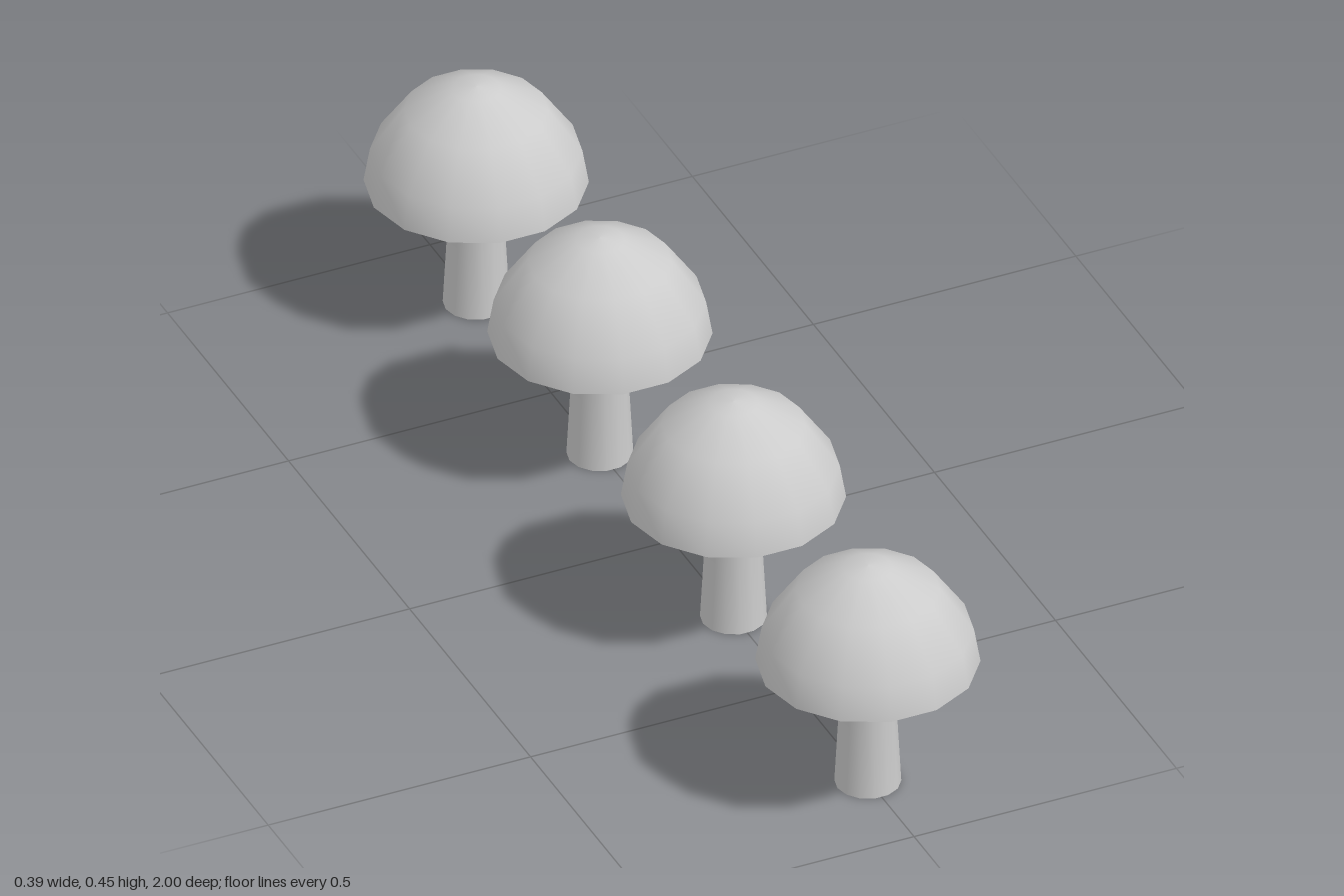
import * as THREE from 'three';

const SIDES = 14;
const PHASE = Math.PI / SIDES; // corners on the x axis, flats towards z

// Smooth surface of revolution from [radius, height] pairs, bottom to top
function lathe(profile) {
  const points = profile.map(([r, y]) => new THREE.Vector2(r, y));
  return new THREE.LatheGeometry(points, SIDES, PHASE);
}

export function createModel() {
  const grey = new THREE.MeshStandardMaterial({ color: 0xcccccc });
  grey.name = 'light grey';

  // Domed cap, its flat underside, waisted stem and the stem's foot
  const parts = {
    cap: lathe([[0.195, 0.252], [0.184, 0.317], [0.125, 0.402], [0.043, 0.446], [0, 0.45]]),
    capUnderside: lathe([[0, 0.252], [0.195, 0.252]]),
    stem: lathe([[0.058, 0], [0.049, 0.17], [0.053, 0.252]]),
    stemFoot: lathe([[0, 0], [0.058, 0]]),
  };

  // Row of four mushrooms along z
  const group = new THREE.Group();
  group.name = 'mushroomRow';
  [0.809, 0.254, -0.298, -0.809].forEach((z, i) => {
    const mushroom = new THREE.Group();
    mushroom.name = `mushroom${i + 1}`;
    for (const [name, geometry] of Object.entries(parts)) {
      const mesh = new THREE.Mesh(geometry, grey);
      mesh.name = name;
      mushroom.add(mesh);
    }
    mushroom.position.z = z;
    group.add(mushroom);
  });
  return group;
}
